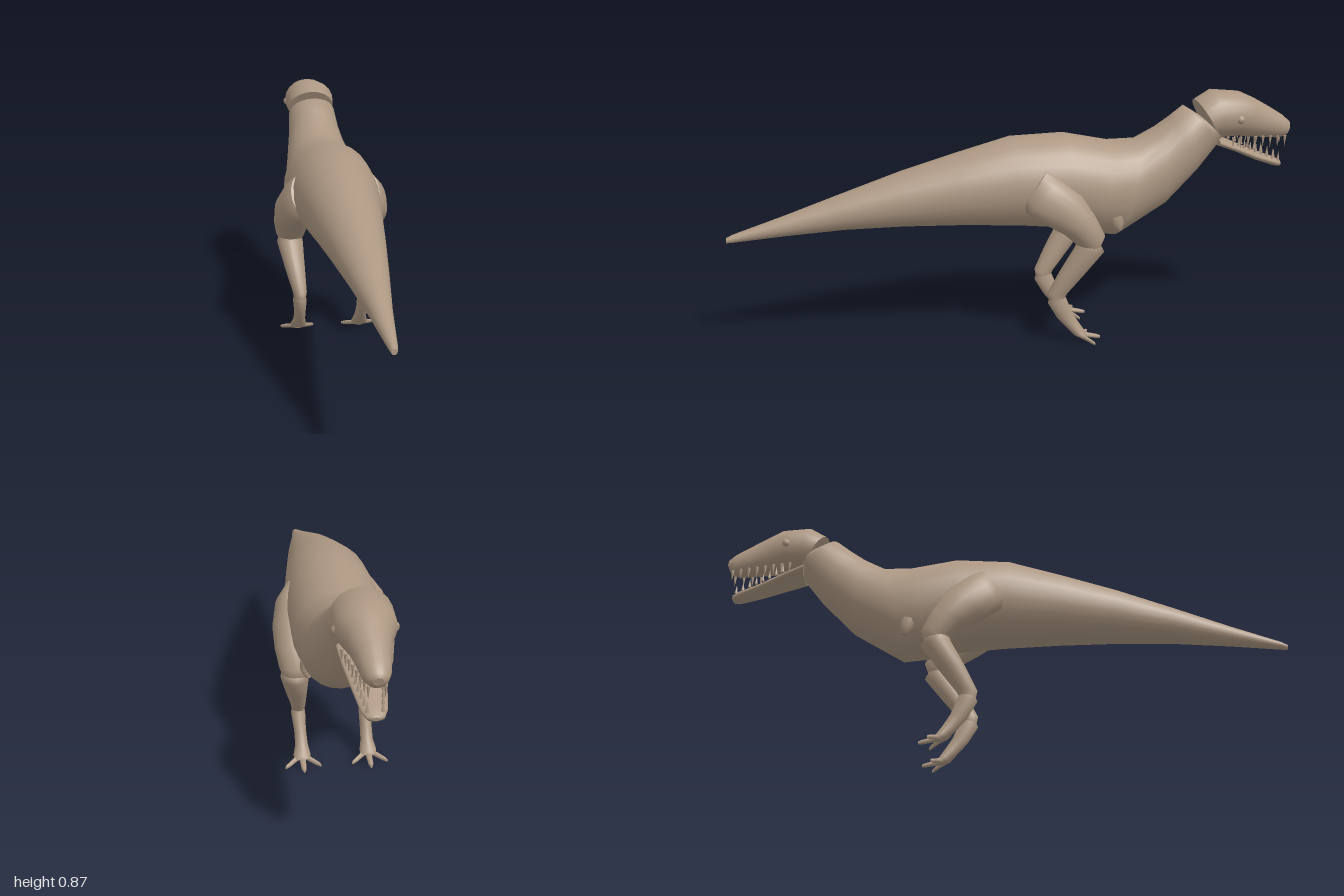
import * as THREE from 'three';

const hide = new THREE.MeshStandardMaterial({ color: 0xac9782 });
hide.name = 'tan hide';

// Skin over oval sections: [z, y of upper/front point, z, y of lower/rear point, centre x, half width]
function loft(name, rows, sides = 20) {
  const pos = [], index = [];
  const ring = ([zt, yt, zb, yb, x, w]) => {
    for (let j = 0; j < sides; j++) {
      const a = (j / sides) * Math.PI * 2, c = Math.cos(a) / 2;
      pos.push(x + w * Math.sin(a), (yt + yb) / 2 + (yt - yb) * c, (zt + zb) / 2 + (zt - zb) * c);
    }
  };
  rows.forEach(ring);
  for (let i = 0; i < rows.length - 1; i++) {
    for (let j = 0; j < sides; j++) {
      const a = i * sides + j, b = i * sides + (j + 1) % sides;
      index.push(a, b, a + sides, b, b + sides, a + sides);
    }
  }
  // end caps with their own vertices
  [rows[0], rows[rows.length - 1]].forEach((row, end) => {
    const start = pos.length / 3;
    ring(row);
    for (let j = 1; j < sides - 1; j++) {
      if (end) index.push(start, start + j, start + j + 1);
      else index.push(start, start + j + 1, start + j);
    }
  });
  const g = new THREE.BufferGeometry();
  g.setAttribute('position', new THREE.Float32BufferAttribute(pos, 3));
  g.setIndex(index);
  g.computeVertexNormals();
  const m = new THREE.Mesh(g, hide);
  m.name = name;
  return m;
}

function ball(name, r, x, y, z) {
  const m = new THREE.Mesh(new THREE.SphereGeometry(r, 12, 8), hide);
  m.name = name;
  m.position.set(x, y, z);
  return m;
}

function tooth(name, x, y, z, h) {
  const m = new THREE.Mesh(new THREE.ConeGeometry(0.006, Math.abs(h), 6), hide);
  m.name = name;
  m.position.set(x, y + h / 2, z);
  if (h < 0) m.rotation.x = Math.PI;
  return m;
}

function makeLeg(s) {
  const leg = new THREE.Group();
  leg.name = s > 0 ? 'leftLeg' : 'rightLeg';
  leg.add(loft('thigh', [
    [-0.08, 0.64, 0.0, 0.53, s * 0.125, 0.032],
    [-0.12, 0.615, -0.01, 0.49, s * 0.135, 0.052],
    [-0.2, 0.55, -0.08, 0.445, s * 0.14, 0.066],
    [-0.25, 0.47, -0.14, 0.41, s * 0.14, 0.064],
    [-0.285, 0.4, -0.185, 0.37, s * 0.14, 0.053],
    [-0.27, 0.36, -0.2, 0.355, s * 0.14, 0.042],
  ]));
  leg.add(loft('shin', [
    [-0.27, 0.365, -0.19, 0.385, s * 0.142, 0.042],
    [-0.283, 0.342, -0.18, 0.358, s * 0.142, 0.048],
    [-0.22, 0.26, -0.13, 0.27, s * 0.131, 0.037],
    [-0.16, 0.185, -0.09, 0.19, s * 0.12, 0.026],
    [-0.15, 0.165, -0.095, 0.165, s * 0.12, 0.022],
  ]));
  leg.add(loft('ankle', [
    [-0.145, 0.19, -0.1, 0.18, s * 0.12, 0.02],
    [-0.16, 0.155, -0.09, 0.15, s * 0.12, 0.025],
    [-0.18, 0.105, -0.125, 0.09, s * 0.117, 0.021],
    [-0.205, 0.065, -0.16, 0.05, s * 0.116, 0.022],
    [-0.225, 0.035, -0.185, 0.022, s * 0.117, 0.03],
    [-0.232, 0.022, -0.2, 0.014, s * 0.117, 0.028],
  ]));
  // three splayed toes
  [[-0.06, -0.25], [0, -0.283], [0.06, -0.25]].forEach(([dx, tip]) => {
    const x = s * 0.117, z = -0.2;
    const at = (t, hi, lo, w) => [z + (tip - z) * t, hi, z + (tip - z) * t, lo, x + dx * t, w];
    leg.add(loft('toe', [
      at(0, 0.032, 0.012, 0.014), at(0.4, 0.026, 0.008, 0.011),
      at(0.85, 0.016, 0.001, 0.009), at(1, 0.011, 0, 0.004),
    ], 10));
  });
  return leg;
}

export function createModel() {
  const model = new THREE.Group();
  model.name = 'dinosaur';

  // tail, trunk and neck in one skin
  model.add(loft('body', [
    [1.0, 0.42, 1.0, 0.402, 0, 0.009],
    [0.98, 0.43, 0.98, 0.403, 0, 0.014],
    [0.8, 0.488, 0.8, 0.417, 0, 0.036],
    [0.6, 0.556, 0.6, 0.429, 0, 0.066],
    [0.4, 0.623, 0.4, 0.43, 0, 0.095],
    [0.2, 0.68, 0.2, 0.424, 0, 0.122],
    [0.02, 0.728, 0.0, 0.412, 0, 0.147],
    [-0.17, 0.733, -0.16, 0.395, 0, 0.157],
    [-0.33, 0.7, -0.27, 0.368, 0, 0.155],
    [-0.43, 0.702, -0.35, 0.356, 0, 0.138],
    [-0.5, 0.74, -0.53, 0.46, 0, 0.115],
    [-0.55, 0.775, -0.65, 0.58, 0, 0.098],
    [-0.6, 0.813, -0.725, 0.675, 0, 0.09],
    [-0.65, 0.782, -0.735, 0.695, 0, 0.083],
  ], 24));

  // skull and lower jaw
  const head = new THREE.Group();
  head.name = 'head';
  head.add(loft('skull', [
    [-0.64, 0.832, -0.715, 0.7, 0, 0.088],
    [-0.7, 0.867, -0.735, 0.695, 0, 0.094],
    [-0.8, 0.857, -0.79, 0.698, 0, 0.09],
    [-0.855, 0.832, -0.84, 0.692, 0, 0.066],
    [-0.92, 0.795, -0.9, 0.686, 0, 0.051],
    [-0.97, 0.764, -0.955, 0.682, 0, 0.042],
    [-0.995, 0.742, -0.98, 0.688, 0, 0.03],
    [-1.0, 0.728, -0.99, 0.7, 0, 0.015],
  ]));
  head.add(loft('lowerJaw', [
    [-0.71, 0.71, -0.72, 0.668, 0, 0.074],
    [-0.78, 0.677, -0.79, 0.642, 0, 0.066],
    [-0.87, 0.638, -0.87, 0.606, 0, 0.05],
    [-0.94, 0.612, -0.94, 0.581, 0, 0.038],
    [-0.967, 0.6, -0.963, 0.576, 0, 0.026],
    [-0.972, 0.593, -0.969, 0.581, 0, 0.012],
  ]));
  for (const s of [1, -1]) {
    head.add(ball('eye', 0.016, s * 0.082, 0.773, -0.78));
    for (let i = 0; i < 8; i++) {
      const t = i / 7;
      head.add(tooth('upperTooth', s * (0.064 - 0.04 * t), 0.706 - 0.012 * t, -0.765 - 0.21 * t, -0.042));
      head.add(tooth('lowerTooth', s * (0.053 - 0.031 * t), 0.672 - 0.07 * t, -0.79 - 0.165 * t, 0.034));
    }
  }
  model.add(head);

  for (const s of [1, -1]) {
    model.add(makeLeg(s));
    // tiny forelimb close to the chest
    model.add(loft('arm', [
      [-0.36, 0.465, -0.3, 0.45, s * 0.105, 0.03],
      [-0.36, 0.43, -0.315, 0.42, s * 0.113, 0.022],
      [-0.355, 0.405, -0.335, 0.4, s * 0.11, 0.01],
    ], 10));
  }
  return model;
}
